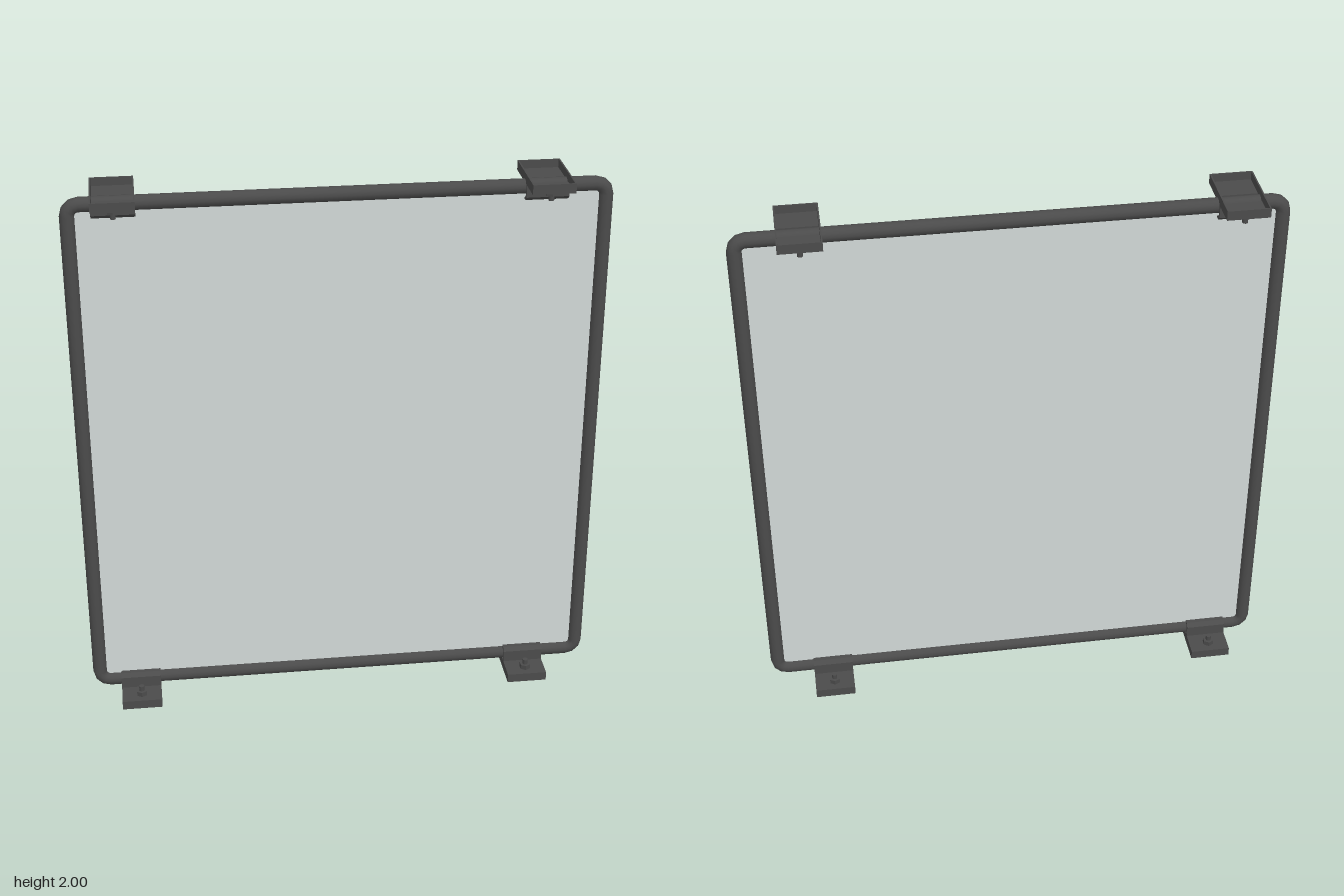
import * as THREE from 'three';

const HALF_W = 0.913, LOW = 0.059, HIGH = 1.953; // frame centreline
const TUBE = 0.026, BEND = 0.038;
const CLIP_W = 0.148, CLIP_D = 0.256, BASE = 0.034, WALL = 0.005;

export function createModel() {
  const model = new THREE.Group();
  model.name = 'framedPanel';
  const metal = new THREE.MeshStandardMaterial({ color: 0x4b4b4b });
  metal.name = 'darkMetal';
  const glass = new THREE.MeshStandardMaterial({ color: 0xd2d9d8 });
  glass.name = 'paleGlass';

  const add = (parent, name, geometry, material, x = 0, y = 0, z = 0) => {
    const mesh = new THREE.Mesh(geometry, material);
    mesh.name = name;
    mesh.position.set(x, y, z);
    parent.add(mesh);
    return mesh;
  };

  // Glass pane, its edges tucked into the tube
  const midY = (LOW + HIGH) / 2, height = HIGH - LOW;
  add(model, 'pane', new THREE.BoxGeometry(HALF_W * 2 - 0.02, height - 0.02, 0.01), glass, 0, midY, 0);

  // Tubular frame: four straight rails and four bends
  const frame = new THREE.Group();
  frame.name = 'frame';
  model.add(frame);
  const post = new THREE.CylinderGeometry(TUBE, TUBE, height - BEND * 2, 12, 1, true);
  const rail = new THREE.CylinderGeometry(TUBE, TUBE, (HALF_W - BEND) * 2, 12, 1, true);
  rail.rotateZ(Math.PI / 2);
  for (const side of [-1, 1]) {
    add(frame, side > 0 ? 'leftPost' : 'rightPost', post, metal, side * HALF_W, midY, 0);
    add(frame, side > 0 ? 'topRail' : 'bottomRail', rail, metal, 0, side > 0 ? HIGH : LOW, 0);
  }
  const bend = new THREE.TorusGeometry(BEND, TUBE, 12, 3, Math.PI / 2);
  [[1, 1], [-1, 1], [-1, -1], [1, -1]].forEach(([sx, sy], i) => {
    const corner = add(frame, 'cornerBend', bend, metal,
      sx * (HALF_W - BEND), midY + sy * (height / 2 - BEND), 0);
    corner.rotation.z = i * Math.PI / 2;
  });

  // Saddle of a clip: a chamfered arch over the tube, open towards the wall
  const arch = new THREE.Shape();
  const foot = BASE - WALL;
  arch.moveTo(0.036, foot);
  arch.lineTo(0.036, 0.077);
  arch.lineTo(0.022, 0.09);
  arch.lineTo(-0.022, 0.09);
  arch.lineTo(-0.036, 0.077);
  arch.lineTo(-0.036, foot);
  arch.lineTo(-0.0265, foot);
  arch.lineTo(-0.0265, LOW);
  arch.absarc(0, LOW, 0.0265, Math.PI, 0, true);
  arch.lineTo(0.0265, foot);
  arch.closePath();
  const saddle = new THREE.ExtrudeGeometry(arch, { depth: CLIP_W, bevelEnabled: false, curveSegments: 8 });
  saddle.translate(0, 0, -CLIP_W / 2).rotateY(Math.PI / 2);

  // Base of a clip: thin plates and walls around a hollow underside
  const flangeDepth = CLIP_D / 2 - 0.03;
  const flange = new THREE.BoxGeometry(CLIP_W, WALL, flangeDepth);
  const longWall = new THREE.BoxGeometry(CLIP_W, BASE, WALL);
  const endWall = new THREE.BoxGeometry(WALL, BASE, CLIP_D);

  // Hexagonal nut and bolt stem
  const nut = new THREE.CylinderGeometry(0.021, 0.021, 0.018, 6).toNonIndexed();
  nut.computeVertexNormals();
  const stem = new THREE.CylinderGeometry(0.01, 0.01, 0.04, 10);

  const makeClip = () => {
    const clip = new THREE.Group();
    clip.name = 'mountingClip';
    add(clip, 'saddle', saddle, metal);
    for (const side of [-1, 1]) {
      const z = side * 0.084;
      add(clip, 'flange', flange, metal, 0, BASE - WALL / 2, side * (CLIP_D - flangeDepth) / 2);
      add(clip, 'longWall', longWall, metal, 0, BASE / 2, side * (CLIP_D - WALL) / 2);
      add(clip, 'endWall', endWall, metal, side * (CLIP_W - WALL) / 2, BASE / 2, 0);
      add(clip, 'nut', nut, metal, 0, BASE + 0.009, z);
      add(clip, 'boltStem', stem, metal, 0, 0.051, z);
    }
    return clip;
  };

  // Two clips along the bottom, two flipped along the top
  for (const x of [-0.761, 0.703]) {
    const lower = makeClip();
    lower.position.x = x;
    const upper = makeClip();
    upper.position.set(x, 2, 0);
    upper.rotation.x = Math.PI;
    model.add(lower, upper);
  }

  return model;
}
